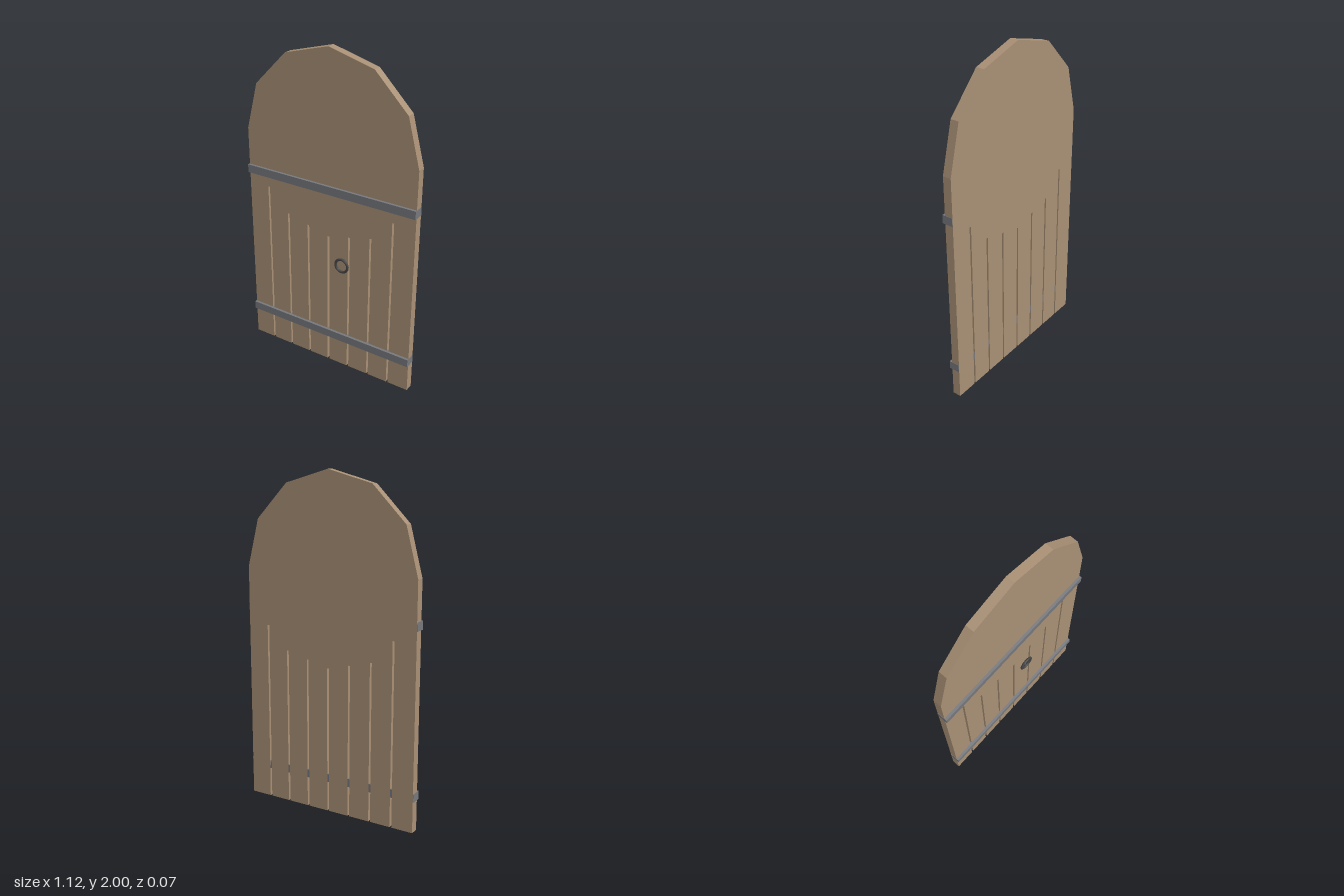
import * as THREE from 'three';

const wood = new THREE.MeshStandardMaterial({ name: 'wood', color: 0xa88f74 });
const iron = new THREE.MeshStandardMaterial({ name: 'iron', color: 0x75777c });
const darkIron = new THREE.MeshStandardMaterial({ name: 'darkIron', color: 0x454545 });

const HALF = 0.56;            // half door width
const BACK = -0.036, FRONT = 0.015;

function part(group, name, geometry, material, x = 0, y = 0, z = 0) {
  const mesh = new THREE.Mesh(geometry, material);
  mesh.name = name;
  mesh.position.set(x, y, z);
  group.add(mesh);
}

// Arched door outline with open slots cut up from the bottom edge
function doorShape() {
  const gap = 0.006;
  const slots = [[0.422, 1.09], [0.282, 0.95], [0.141, 0.915], [0, 0.88],
    [-0.141, 0.915], [-0.282, 0.95], [-0.422, 1.09]];
  const shape = new THREE.Shape();
  shape.moveTo(HALF, 0);
  // faceted arch, right to left
  for (let i = 0; i <= 6; i++) {
    const a = (i / 6) * Math.PI;
    shape.lineTo(HALF * Math.cos(a), 1.435 + 0.565 * Math.sin(a));
  }
  shape.lineTo(-HALF, 0);
  // plank gaps, left to right
  for (const [x, top] of slots.reverse()) {
    shape.lineTo(x - gap, 0);
    shape.lineTo(x - gap, top);
    shape.lineTo(x + gap, top);
    shape.lineTo(x + gap, 0);
  }
  shape.closePath();
  return shape;
}

export function createModel() {
  const group = new THREE.Group();
  group.name = 'archedDoor';

  const door = new THREE.ExtrudeGeometry(doorShape(), { depth: FRONT - BACK, bevelEnabled: false });
  part(group, 'doorPlanks', door, wood, 0, 0, BACK);

  // Iron straps, seen through the gaps but just short of the back face
  const strapBack = BACK + 0.001, strapFront = 0.031;
  for (const [name, y] of [['lowerStrap', 0.207], ['upperStrap', 1.182]]) {
    const strap = new THREE.BoxGeometry(HALF * 2 + 0.004, 0.05, strapFront - strapBack);
    part(group, name, strap, iron, 0, y, (strapFront + strapBack) / 2);
  }

  // Pull ring
  part(group, 'pullRing', new THREE.TorusGeometry(0.041, 0.008, 8, 20), darkIron, 0.1, 0.72, 0.028);

  return group;
}
